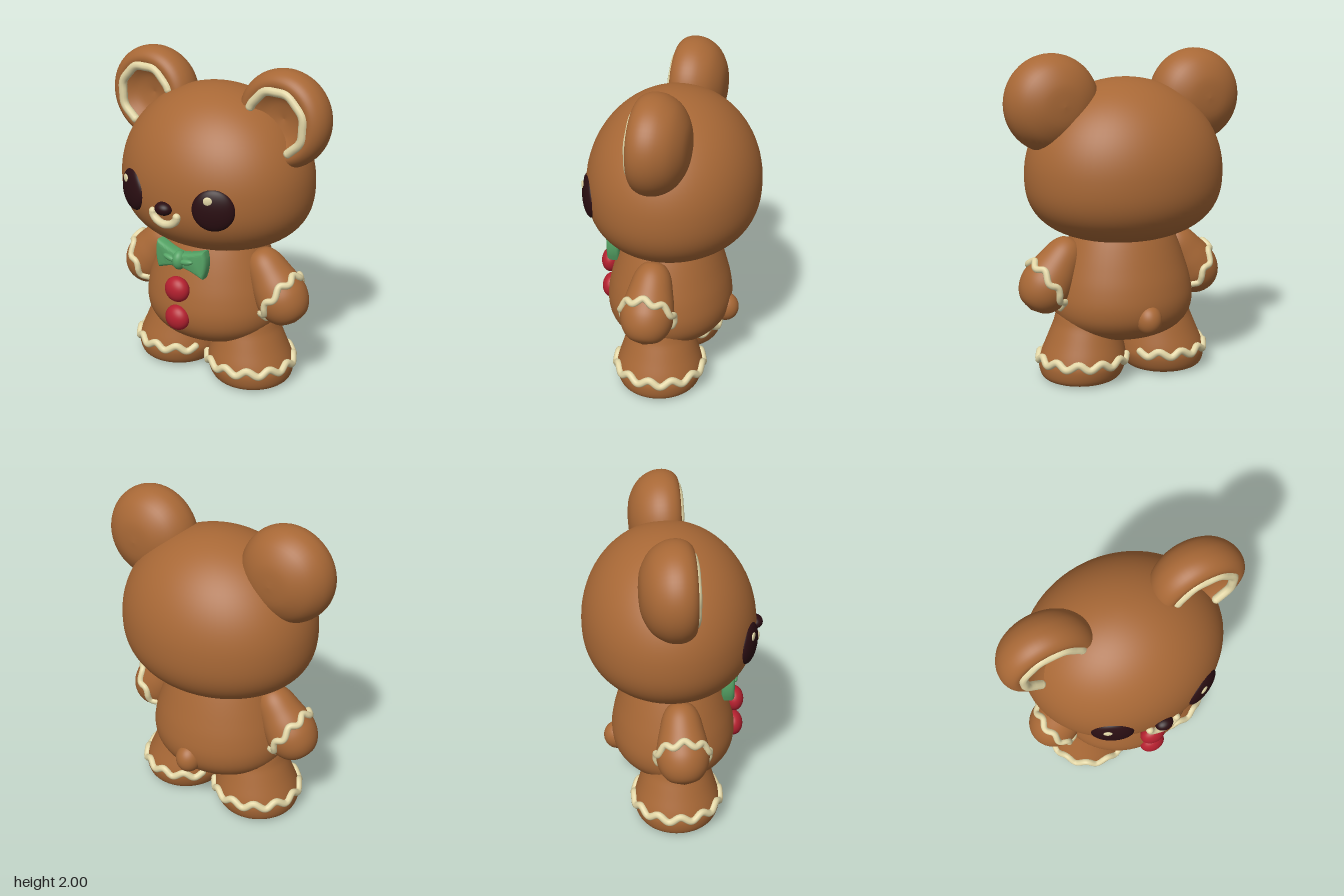
import * as THREE from 'three';
import { mergeGeometries, mergeVertices, toCreasedNormals } from 'three/addons/utils/BufferGeometryUtils.js';

const material = (name, color) => {
  const m = new THREE.MeshStandardMaterial({ color });
  m.name = name;
  return m;
};

export function createModel() {
  const root = new THREE.Group();
  root.name = 'gingerbreadBear';
  const brown = material('gingerbread', 0xa86836);
  const cream = material('icing', 0xe2d6a6);
  const dark = material('darkChocolate', 0x2a0e12);
  const red = material('redCandy', 0xb4202f);
  const green = material('greenBow', 0x55a365);

  const add = (parent, name, geometry, mat, x = 0, y = 0, z = 0) => {
    const mesh = new THREE.Mesh(geometry, mat);
    mesh.name = name;
    mesh.position.set(x, y, z);
    parent.add(mesh);
    return mesh;
  };
  const ellipsoid = (rx, ry, rz) => new THREE.SphereGeometry(1, 40, 28).scale(rx, ry, rz);

  // Smooth turned shape from a few [radius, height] points
  const turned = (profile) => {
    const pts = new THREE.SplineCurve(profile.map(([r, y]) => new THREE.Vector2(r, y))).getPoints(44);
    pts.forEach((p) => { p.x = Math.max(0, p.x); });
    return new THREE.LatheGeometry(pts, 56);
  };
  const radiusAt = (profile, y) => {
    for (let i = 1; i < profile.length; i++) {
      const [r0, y0] = profile[i - 1], [r1, y1] = profile[i];
      if (y >= y0 && y <= y1 && y1 > y0) return THREE.MathUtils.lerp(r0, r1, (y - y0) / (y1 - y0));
    }
    return 0;
  };

  // Piped icing: a tube with round ends
  const piped = (points, r) => {
    const curve = new THREE.CatmullRomCurve3(points);
    const ends = [points[0], points[points.length - 1]].map((p) =>
      new THREE.SphereGeometry(r, 12, 8).translate(p.x, p.y, p.z));
    return mergeGeometries([new THREE.TubeGeometry(curve, points.length * 2, r, 10), ...ends]);
  };
  const along = (n, fn) => Array.from({ length: n + 1 }, (_, i) => fn(i / n));

  // Head: ellipsoid with a fuller, flatter underside
  let head = new THREE.SphereGeometry(1, 72, 48);
  const pos = head.attributes.position;
  for (let i = 0; i < pos.count; i++) {
    const x = pos.getX(i), y = pos.getY(i), z = pos.getZ(i);
    const h = Math.hypot(x, z);
    const k = y < 0 && h > 1e-4 ? Math.pow(Math.max(0, 1 - Math.pow(-y, 2.5)), 0.4) / h : 1;
    pos.setXYZ(i, x * k * 0.62, y * (y < 0 ? 0.41 : 0.575), z * k * 0.525);
  }
  head.deleteAttribute('normal');
  head.deleteAttribute('uv');
  head = mergeVertices(head, 1e-5);
  head.computeVertexNormals();
  add(root, 'head', head, brown, 0, 1.27, -0.025);

  // Torso and tail
  const torso = turned([[0, 0.24], [0.2, 0.25], [0.34, 0.3], [0.42, 0.38], [0.446, 0.48],
    [0.43, 0.6], [0.39, 0.73], [0.345, 0.85], [0.3, 0.95]]).scale(1, 1, 0.87);
  add(root, 'torso', torso, brown);
  add(root, 'tail', ellipsoid(0.08, 0.092, 0.085), brown, 0, 0.42, -0.355);

  const legProfile = [[0, 0], [0.1, 0], [0.195, 0.001], [0.245, 0.025], [0.27, 0.1], [0.262, 0.16],
    [0.235, 0.25], [0.205, 0.35], [0.17, 0.46], [0, 0.52]];
  const armProfile = [[0, -0.16], [0.085, -0.137], [0.137, -0.08], [0.16, 0], [0.153, 0.08],
    [0.135, 0.16], [0.108, 0.26], [0.065, 0.32], [0, 0.34]];
  const earProfile = [[0, -0.235], [0.12, -0.222], [0.22, -0.17], [0.275, -0.095], [0.29, -0.02],
    [0.275, 0.04], [0.24, 0.075], [0.2, 0.075], [0.16, 0.04], [0.1, 0.005], [0, -0.015]];

  for (const s of [1, -1]) {
    const side = s > 0 ? 'left' : 'right';

    // Leg leaning inward, icing open on the inner side
    const leg = new THREE.Group();
    leg.name = side + 'Leg';
    leg.position.x = s * 0.29;
    root.add(leg);
    const legGeo = turned(legProfile);
    legGeo.applyMatrix4(new THREE.Matrix4().makeShear(0, 0, -0.12 * s, 0, 0, 0));
    const lp = legGeo.attributes.position;
    if (Math.abs(lp.getX(lp.count - 1)) < 1e-3) {
      for (let i = 0; i < lp.count; i++) lp.setX(i, lp.getX(i) - 0.12 * s * lp.getY(i));
    }
    add(leg, side + 'Foot', legGeo, brown);
    const legIcing = along(96, (t) => {
      const a = THREE.MathUtils.lerp(-2.55, 2.55, t);
      const y = 0.138 + 0.017 * Math.cos(a * 12);
      const r = radiusAt(legProfile, y) + 0.006;
      return new THREE.Vector3(s * (Math.cos(a) * r - 0.12 * y), y, Math.sin(a) * r);
    });
    add(leg, side + 'FootIcing', piped(legIcing, 0.023), cream);

    // Arm with a slanted icing cuff
    const arm = new THREE.Group();
    arm.name = side + 'Arm';
    arm.position.set(s * 0.515, 0.595, 0.015);
    arm.rotation.z = s * 0.61;
    root.add(arm);
    add(arm, side + 'Hand', turned(armProfile), brown);
    const cuff = along(64, (t) => {
      const a = THREE.MathUtils.lerp(-2.7, 2.7, t);
      const y = 0.018 + 0.07 * Math.cos(a) + 0.016 * Math.cos(a * 8);
      const r = radiusAt(armProfile, y) + 0.004;
      return new THREE.Vector3(s * Math.cos(a) * r, y, Math.sin(a) * r);
    });
    add(arm, side + 'ArmIcing', piped(cuff, 0.021), cream);

    // Cupped ear with an icing arc
    const ear = new THREE.Group();
    ear.name = side + 'EarGroup';
    ear.position.set(s * 0.475, 1.712, 0);
    root.add(ear);
    add(ear, side + 'Ear', turned(earProfile).rotateX(Math.PI / 2), brown);
    const arc = along(28, (t) => {
      const a = THREE.MathUtils.lerp(2.78, -1.08, t);
      const r = 0.185 + 0.004 * Math.cos(t * 30);
      return new THREE.Vector3(s * Math.cos(a) * r, Math.sin(a) * r - 0.005, 0.072);
    });
    add(ear, side + 'EarIcing', piped(arc, 0.027), cream);

    // Eye lying on the face, glint on the same side for both
    const eye = new THREE.Group();
    eye.name = side + 'EyeGroup';
    eye.position.set(s * 0.294, 1.245, 0.418);
    eye.rotation.y = s * 0.44;
    root.add(eye);
    add(eye, side + 'Eye', ellipsoid(0.127, 0.128, 0.045), dark);
    add(eye, side + 'EyeGlint', ellipsoid(0.027, 0.026, 0.008), cream, -0.027, 0.065, 0.037);

    // Bow wing
    const wing = new THREE.Shape();
    wing.moveTo(0, -0.025);
    wing.quadraticCurveTo(s * 0.07, -0.03, s * 0.15, -0.066);
    wing.quadraticCurveTo(s * 0.172, 0, s * 0.158, 0.066);
    wing.quadraticCurveTo(s * 0.07, 0.03, 0, 0.025);
    const wingGeo = new THREE.ExtrudeGeometry(wing, {
      depth: 0.03, bevelEnabled: true, bevelThickness: 0.025, bevelSize: 0.02, bevelSegments: 5, curveSegments: 10,
    });
    add(root, side + 'BowWing', toCreasedNormals(wingGeo, 0.8), green, 0, 0.84, 0.325).rotation.y = s * 0.08;
    // Fold beside the knot
    const fold = add(root, side + 'BowFold', ellipsoid(0.05, 0.018, 0.02), green, s * 0.06, 0.845, 0.378);
    fold.rotation.z = s * 0.2;
  }
  add(root, 'bowKnot', ellipsoid(0.04, 0.06, 0.05), green, 0, 0.84, 0.362);

  // Nose and smile
  add(root, 'nose', ellipsoid(0.056, 0.04, 0.045), dark, 0, 1.215, 0.505);
  const smile = along(16, (t) => {
    const a = Math.PI * (1 + t);
    return new THREE.Vector3(Math.cos(a) * 0.088, 1.178 + Math.sin(a) * 0.06, 0.503 - 0.008 * Math.abs(Math.cos(a)));
  });
  add(root, 'smile', piped(smile, 0.024), cream);

  // Candy buttons
  [0.657, 0.468].forEach((y, i) => add(root, 'button' + (i + 1), ellipsoid(0.082, 0.08, 0.06), red, 0, y, 0.388));

  return root;
}
